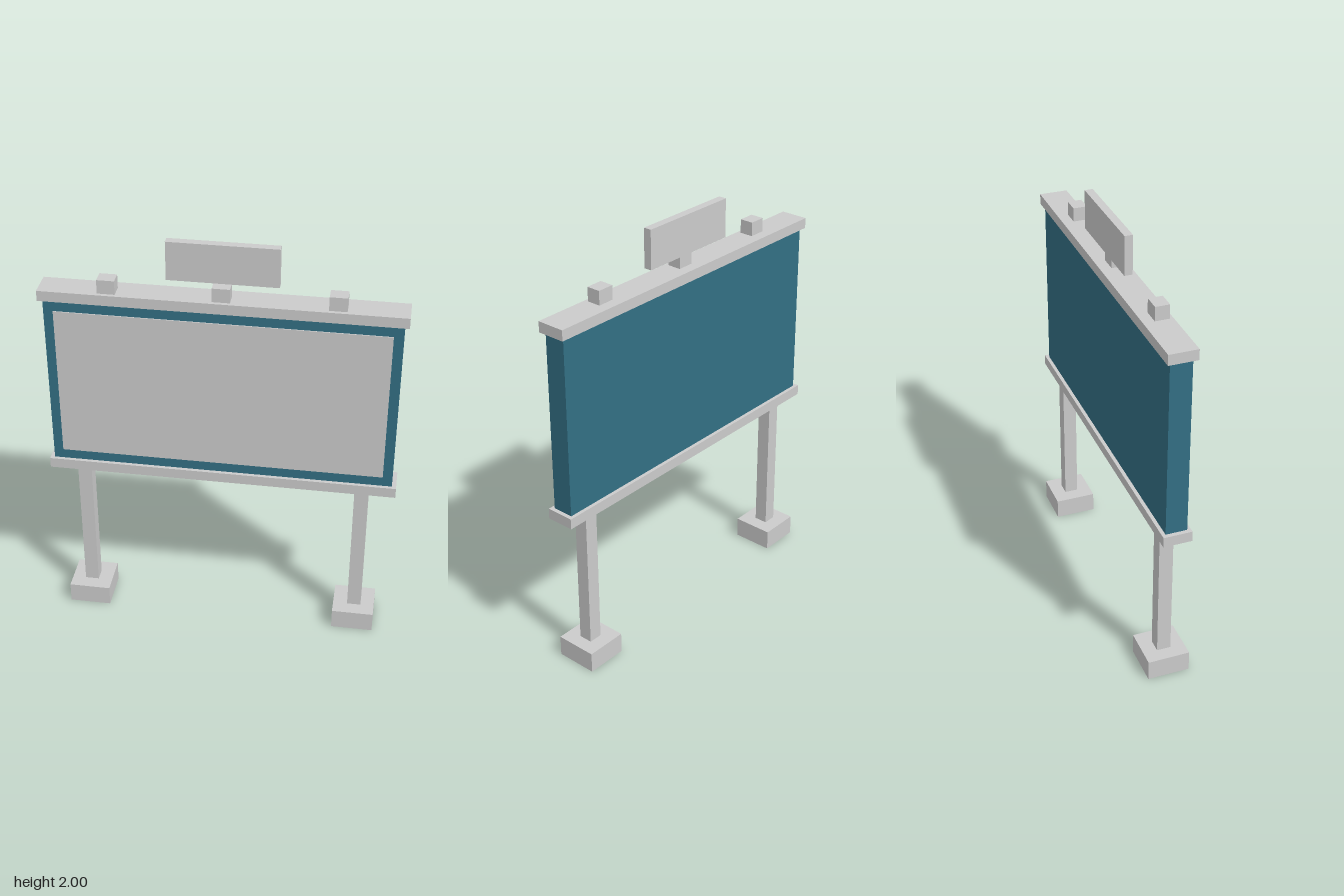
import * as THREE from 'three';

const grey = new THREE.MeshStandardMaterial({ color: 0xcccccc });
const teal = new THREE.MeshStandardMaterial({ color: 0x336f84 });

export function createModel() {
  const model = new THREE.Group();
  model.name = 'billboard';

  // Box of size w, h, d standing on height y
  const box = (name, w, h, d, x, y, z = 0, material = grey) => {
    const mesh = new THREE.Mesh(new THREE.BoxGeometry(w, h, d), material);
    mesh.name = name;
    mesh.position.set(x, y + h / 2, z);
    model.add(mesh);
  };

  // Footings and posts
  for (const [side, s] of [['left', 1], ['right', -1]]) {
    box(side + 'Footing', 0.2, 0.1, 0.2, s * 0.66, 0);
    box(side + 'Post', 0.066, 0.7, 0.066, s * 0.662, 0.1);
  }

  // Display panel with its raised poster sheet
  box('panel', 1.6, 0.85, 0.1, 0, 0.85, 0, teal);
  box('poster', 1.51, 0.745, 0.01, 0, 0.9, 0.05);

  // Rails capping the panel
  box('bottomRail', 1.64, 0.05, 0.134, 0, 0.8);
  box('topRail', 1.64, 0.05, 0.134, 0, 1.7);

  // Lamps on the top rail
  [-0.51, 0, 0.51].forEach((x, i) => box('lamp' + (i + 1), 0.08, 0.066, 0.066, x, 1.75, 0.017));

  // Header sign
  box('headerSign', 0.5, 0.184, 0.038, 0, 1.816, -0.017);

  return model;
}
